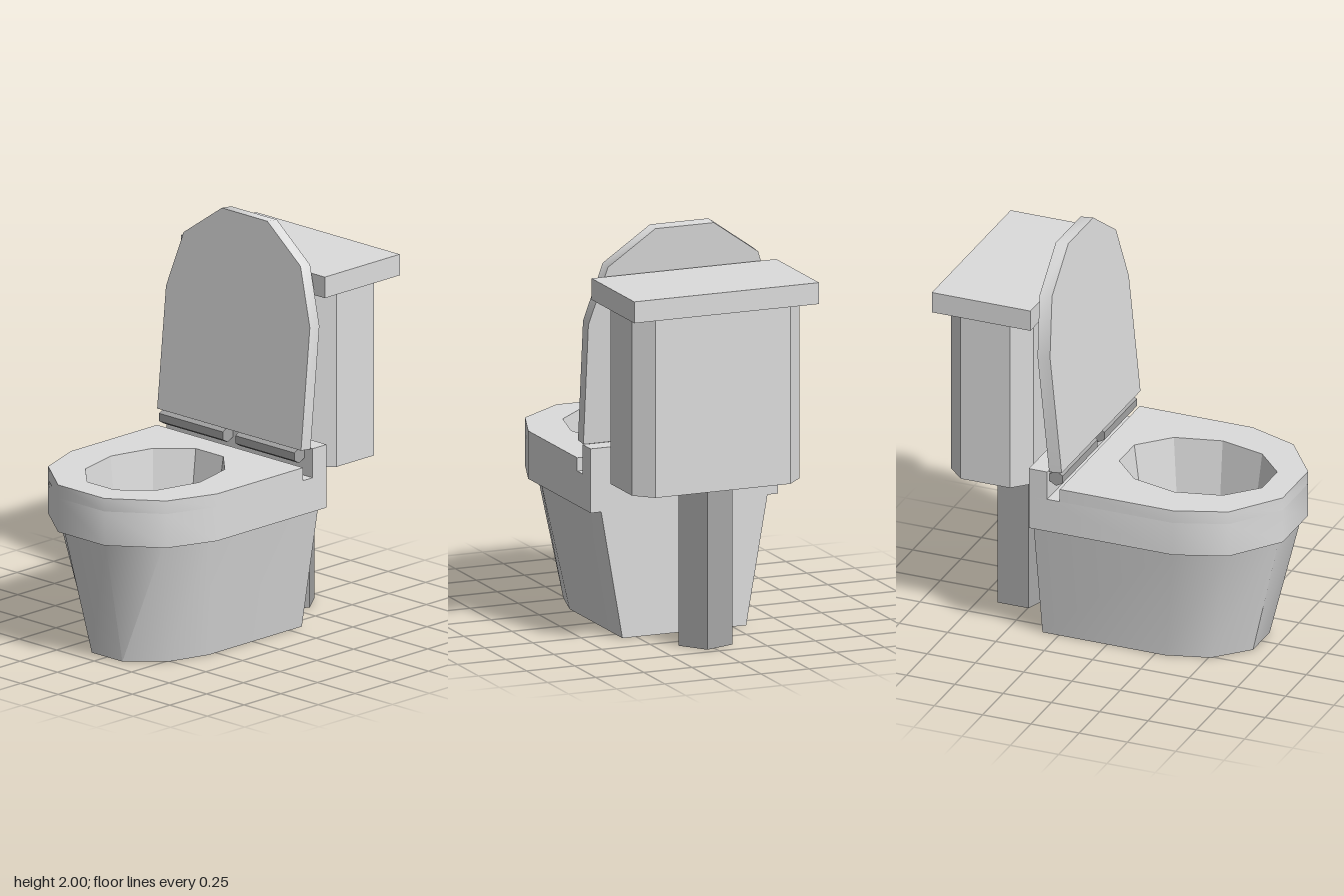
import * as THREE from 'three';
import { toCreasedNormals } from 'three/addons/utils/BufferGeometryUtils.js';

const BACK = -0.335;
const CREASE = 0.7;

// Mirrors the +x half of an outline to close it
const mirror = (half) => [...half, ...half.slice().reverse().map(([x, z]) => [-x, z])];
// Flat shape whose y becomes -z once it is laid down
const plan = (pts) => new THREE.Shape(pts.map(([x, z]) => new THREE.Vector2(x, -z)));
const decagon = (rx, rz, cz) => Array.from({ length: 10 }, (_, i) => {
  const a = i * Math.PI / 5;
  return [rx * Math.cos(a), cz + rz * Math.sin(a)];
});

// Upright slab between two heights
function slab(shape, y0, y1) {
  const g = new THREE.ExtrudeGeometry(shape, { depth: y1 - y0, bevelEnabled: false });
  return toCreasedNormals(g.rotateX(-Math.PI / 2).translate(0, y0, 0), CREASE);
}

// Side walls joining two matching rings
function loft(low, y0, high, y1, crease) {
  const p = [];
  low.forEach((a, i) => {
    const j = (i + 1) % low.length;
    const A = [a[0], y0, a[1]], B = [low[j][0], y0, low[j][1]];
    const C = [high[i][0], y1, high[i][1]], D = [high[j][0], y1, high[j][1]];
    p.push(...A, ...C, ...B, ...B, ...C, ...D);
  });
  const g = new THREE.BufferGeometry();
  g.setAttribute('position', new THREE.Float32BufferAttribute(p, 3));
  return toCreasedNormals(g, crease);
}

export function createModel() {
  const model = new THREE.Group();
  model.name = 'toilet';
  const ceramic = new THREE.MeshStandardMaterial({ color: 0xdcdcdc });
  ceramic.name = 'ceramic';
  const grey = new THREE.MeshStandardMaterial({ color: 0xa6a6a6 });
  grey.name = 'grey fittings';

  const add = (name, geometry, material = ceramic, x = 0, y = 0, z = 0) => {
    const m = new THREE.Mesh(geometry, material);
    m.name = name;
    m.position.set(x, y, z);
    model.add(m);
    return m;
  };
  const box = (name, x, y0, y1, z0, z1) => add(name,
    new THREE.BoxGeometry(2 * x, y1 - y0, z1 - z0), ceramic, 0, (y0 + y1) / 2, (z0 + z1) / 2);

  // Rim: lower slab, upper slab in front of the hinge groove, ledge behind it
  const outline = (back) => mirror([[0.487, back], [0.487, 0.41], [0.395, 0.66], [0.155, 0.838]]);
  const holeTop = decagon(0.297, 0.389, 0.335);
  const holeLow = decagon(0.25, 0.323, 0.335);
  const withHole = (pts) => {
    const s = plan(pts);
    s.holes.push(new THREE.Path(holeTop.map(([x, z]) => new THREE.Vector2(x, -z))));
    return s;
  };
  add('rimLower', slab(withHole(outline(BACK)), 0.63, 0.8));
  add('rimUpper', slab(withHole(outline(-0.175)), 0.8, 0.865));
  box('rearLedge', 0.487, 0.8, 0.945, BACK, -0.24);

  // Tapered pedestal with a straight back
  const scaled = (sx, sz) => outline(BACK).map(([x, z]) => [x * sx, BACK + (z - BACK) * sz]);
  const foot = scaled(0.66, 0.85);
  add('pedestal', loft(foot, 0, scaled(0.887, 0.978), 0.63, CREASE));
  const sole = new THREE.Shape(foot.map(([x, z]) => new THREE.Vector2(x, z)));
  add('pedestalBase', new THREE.ShapeGeometry(sole).rotateX(Math.PI / 2));

  // Bowl interior, facing inward
  add('bowlWall', loft(holeLow.slice().reverse(), 0.42, holeTop.slice().reverse(), 0.865, 0.1));
  add('bowlFloor', new THREE.ShapeGeometry(plan(holeLow)).rotateX(-Math.PI / 2), ceramic, 0, 0.42, 0);

  // Raised lid, leaning back
  const lidShape = new THREE.Shape(mirror([[0.48, 0], [0.48, 0.603], [0.39, 0.885], [0.152, 1.055]])
    .map(([x, y]) => new THREE.Vector2(x, y)));
  const lidGeo = new THREE.ExtrudeGeometry(lidShape, { depth: 0.065, bevelEnabled: false });
  lidGeo.translate(0, 0, -0.065);
  add('seatLid', toCreasedNormals(lidGeo, CREASE), ceramic, 0, 0.95, -0.168).rotation.x = -0.1;

  // Hinge rods
  for (const [x0, x1] of [[-0.467, -0.042], [0.042, 0.435]]) {
    const rod = new THREE.CylinderGeometry(0.039, 0.039, x1 - x0, 6, 1, false, Math.PI / 2);
    rod.rotateZ(Math.PI / 2);
    add('hinge', toCreasedNormals(rod, 0.1), grey, (x0 + x1) / 2, 0.909, -0.202);
  }

  // Cistern with chamfered corners, its cover and the waste pipe
  const c = 0.085, w = 0.435, z0 = -0.795, z1 = -0.37;
  const tank = mirror([[w - c, z0], [w, z0 + c], [w, z1 - c], [w - c, z1]]);
  add('tank', toCreasedNormals(slab(plan(tank), 0.795, 1.68), 0.1));
  box('tankCover', 0.48, 1.675, 1.78, -0.84, -0.33);
  const pipe = new THREE.CylinderGeometry(0.137, 0.137, 0.8, 5, 1, false, Math.PI / 2);
  add('pipe', toCreasedNormals(pipe, 0.1), grey, 0, 0.4, -0.577);

  return model;
}
